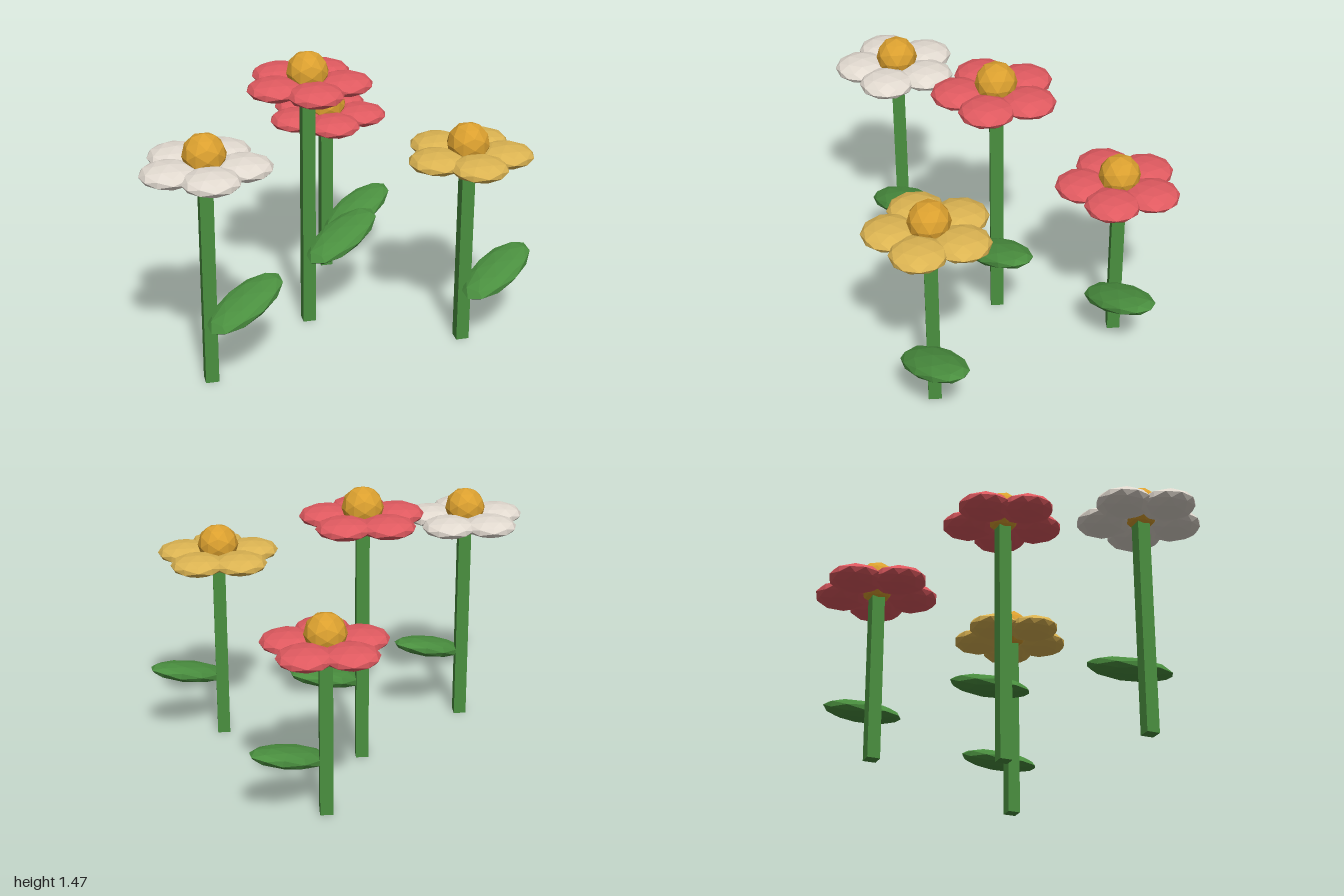
import * as THREE from 'three';

const mat = (name, color) => {
  const m = new THREE.MeshStandardMaterial({ color, flatShading: true });
  m.name = name;
  return m;
};

export function createModel() {
  const green = mat('leafGreen', 0x4a8f3f);
  const gold = mat('centreGold', 0xdba02f);
  const red = mat('petalRed', 0xe05a60);
  const white = mat('petalWhite', 0xe2dad0);
  const yellow = mat('petalYellow', 0xdcb452);

  // faceted ball shared by petals, centres and leaves
  const ball = new THREE.IcosahedronGeometry(1, 1);
  const blob = (name, material, size, position) => {
    const mesh = new THREE.Mesh(ball, material);
    mesh.name = name;
    mesh.scale.set(...size);
    mesh.position.set(...position);
    return mesh;
  };

  function flower(name, x, z, height, petalMaterial) {
    const group = new THREE.Group();
    group.name = name;
    group.position.set(x, 0, z);

    // square stem
    const stem = new THREE.Mesh(new THREE.BoxGeometry(0.065, height, 0.065), green);
    stem.name = 'stem';
    stem.position.y = height / 2;
    group.add(stem);

    // one leaf, tilted up and swung backwards
    const leaf = blob('leaf', green, [0.24, 0.05, 0.12], [0.175, height * 0.35, 0]);
    leaf.rotation.set(0, 0.6, 0.3);
    group.add(leaf);

    // ring of five flattened petals, the first towards the front
    for (let i = 0; i < 5; i++) {
      const a = (i * Math.PI * 2) / 5;
      group.add(blob('petal', petalMaterial, [0.14, 0.05, 0.14],
        [Math.sin(a) * 0.18, height, Math.cos(a) * 0.18]));
    }

    // domed centre
    group.add(blob('flowerCentre', gold, [0.105, 0.105, 0.105], [0, height + 0.056, 0]));
    return group;
  }

  const model = new THREE.Group();
  model.name = 'flowerPatch';
  model.add(
    flower('whiteFlower', -0.685, 0.515, 1.13, white),
    flower('tallRedFlower', -0.093, 0.04, 1.307, red),
    flower('shortRedFlower', 0.142, -0.55, 0.893, red),
    flower('yellowFlower', 0.617, 0.4, 1.01, yellow),
  );
  return model;
}
